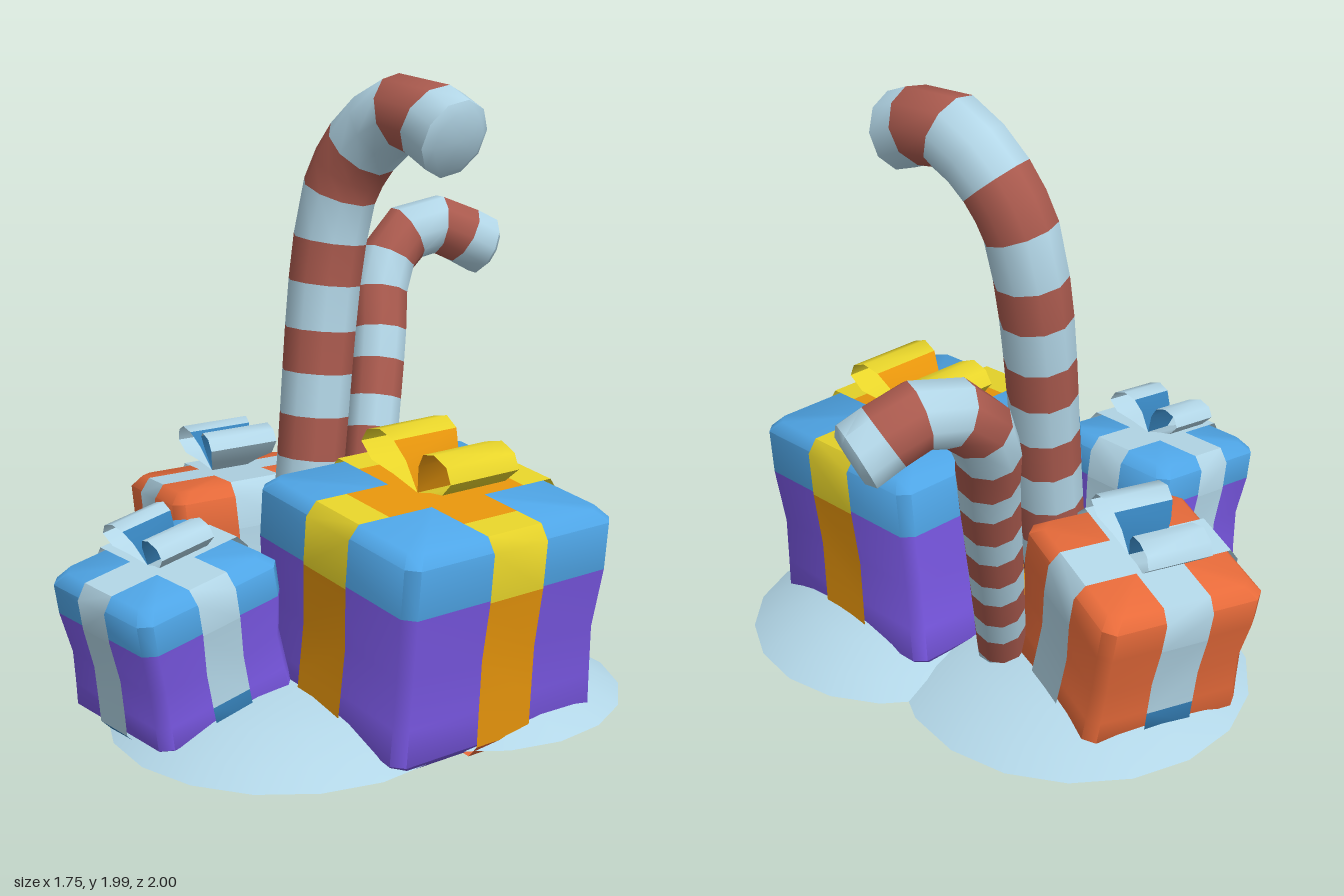
import * as THREE from 'three';
import { toCreasedNormals } from 'three/addons/utils/BufferGeometryUtils.js';

const paint = (name, color, open) => {
  const m = new THREE.MeshStandardMaterial({ color });
  m.name = name;
  if (open) m.side = THREE.DoubleSide;
  return m;
};

const V = (x, y, z) => new THREE.Vector3(x, y, z);

function add(parent, name, geometry, material) {
  const mesh = new THREE.Mesh(geometry, material);
  mesh.name = name;
  parent.add(mesh);
  return mesh;
}

// Closed body from cross-section loops; pick(i) gives the material index of span i
function loft(rings, pick, crease) {
  const n = rings[0].length, pos = [], idx = [];
  const geo = new THREE.BufferGeometry();
  rings.forEach(r => r.forEach(p => pos.push(p.x, p.y, p.z)));
  for (let i = 0; i < rings.length - 1; i++) {
    geo.addGroup(idx.length, n * 6, pick(i));
    for (let j = 0; j < n; j++) {
      const a = i * n + j, b = i * n + (j + 1) % n;
      idx.push(a, b, a + n, b, b + n, a + n);
    }
  }
  for (const [i, span, flip] of [[0, 0, true], [rings.length - 1, rings.length - 2, false]]) {
    const mid = V(0, 0, 0);
    rings[i].forEach(p => mid.addScaledVector(p, 1 / n));
    const m = pos.length / 3;
    pos.push(mid.x, mid.y, mid.z);
    geo.addGroup(idx.length, n * 3, pick(span));
    for (let j = 0; j < n; j++) {
      const a = i * n + j, b = i * n + (j + 1) % n;
      idx.push(...(flip ? [b, a, m] : [a, b, m]));
    }
  }
  geo.setAttribute('position', new THREE.Float32BufferAttribute(pos, 3));
  geo.setIndex(idx);
  return toCreasedNormals(geo, crease);
}

// Flat ribbon following [x, y, width] points, spread along z
function strip(points) {
  const pos = [], idx = [];
  points.forEach(([x, y, w], i) => {
    pos.push(x, y, w / 2, x, y, -w / 2);
    const a = i * 2;
    if (i) idx.push(a - 2, a, a - 1, a - 1, a, a + 1);
  });
  const geo = new THREE.BufferGeometry();
  geo.setAttribute('position', new THREE.Float32BufferAttribute(pos, 3));
  geo.setIndex(idx);
  return toCreasedNormals(geo, 0.9);
}

// Bent striped cane; bands are arc lengths painted with the second material
function cane(name, points, r0, r1, bands, materials) {
  const curve = new THREE.CatmullRomCurve3(points.map(p => V(...p)));
  const length = curve.getLength();
  const stops = [0, ...bands.flat(), length];
  const stations = [];
  stops.forEach((s, i) => {
    if (i && s - stops[i - 1] > 0.16) stations.push((s + stops[i - 1]) / 2);
    stations.push(s);
  });
  const first = V(...points[0]), last = V(...points[points.length - 1]);
  const side = curve.getTangentAt(0).cross(last.clone().sub(first)).normalize();
  const ring = (s, k, push) => {
    const u = s / length, t = curve.getTangentAt(u);
    const c = curve.getPointAt(u).addScaledVector(t, push);
    const nrm = side.clone().cross(t).normalize(), bin = t.clone().cross(nrm);
    const r = (r0 + (r1 - r0) * u) * k;
    return Array.from({ length: 10 }, (_, j) => {
      const a = j * Math.PI / 5;
      return c.clone().addScaledVector(nrm, r * Math.cos(a)).addScaledVector(bin, r * Math.sin(a));
    });
  };
  // Last ring rounds off the tip
  const rings = [...stations.map(s => ring(s, 1, 0)), ring(length, 0.75, 0.02)];
  const pick = i => {
    const mid = (stations[i] + (stations[i + 1] ?? stations[i])) / 2;
    return bands.some(([a, b]) => mid > a && mid < b) ? 1 : 0;
  };
  const mesh = new THREE.Mesh(loft(rings, pick, 0.85), materials);
  mesh.name = name;
  return mesh;
}

// Wrapped box with crossed ribbons and a two-loop bow; origin at the bottom centre
function gift(name, { w, d, h, ribbon, bow, body, lid, upper, lower, centre, base, baseRow, inner }) {
  const g = new THREE.Group();
  g.name = name;
  const c = 0.035;
  const profile = [[0, c], [c, 0.003], [h * 0.22, 0.008], [h * 0.45, 0.014], [h * 0.73, 0], [h - c, 0], [h, c]];
  const rings = profile.map(([y, inset]) => {
    const x = w / 2 - inset, z = d / 2 - inset;
    return [[x - c, z], [x, z - c], [x, c - z], [x - c, -z], [c - x, -z], [-x, c - z], [-x, z - c], [c - x, z]]
      .map(([px, pz]) => V(px, y, pz));
  });
  add(g, 'wrappedBox', loft(rings, i => (i < 4 ? 0 : 1), 0.9), [body, lid]);

  // Ribbons around both directions, split into base, sides, lid edges and top centre
  const flip = pts => pts.map(([x, y, r]) => [-x, y, r]);
  for (const [half, turn, row] of [[w / 2, 0, baseRow], [d / 2, Math.PI / 2, 1]]) {
    const edge = profile.map(([y, inset]) => [half - inset + 0.012, y === 0 ? -0.01 : y === h ? h + 0.01 : y, ribbon]);
    const inside = [half * 0.66, h + 0.01, ribbon];
    const wrap = (part, pts, mat) => { add(g, part, strip(pts), mat).rotation.y = turn; };
    const under = edge.slice(0, row + 1);
    wrap('baseRibbon', [...flip(under).reverse(), ...under], base);
    wrap('topRibbon', [inside, ...flip([inside])], centre);
    for (const side of [pts => pts, flip]) {
      wrap('sideRibbon', side(edge.slice(row, 5)), lower);
      wrap('lidRibbon', side([...edge.slice(4), inside]), upper);
    }
  }

  // Bow loops, mirrored
  const outer = [[0, 0, 0.15], [0.09, 0.035, 0.2], [0.17, 0.06, 0.25], [0.215, 0.11, 0.27],
    [0.19, 0.155, 0.27], [0.13, 0.175, 0.27], [0.07, 0.155, 0.25]];
  const fold = [[0.07, 0.155, 0.25], [0.03, 0.1, 0.21], [0, 0, 0.15]];
  for (const s of [-1, 1]) {
    const shape = pts => strip(pts.map(([x, y, r]) => [x * bow * s, h + 0.014 + y * bow, r * bow]));
    add(g, 'bowLoop', shape(outer), upper);
    add(g, 'bowFold', shape(fold), inner);
  }
  return g;
}

export function createModel() {
  const model = new THREE.Group();
  const snow = paint('snowWhite', 0xb4d8e9, true);
  const red = paint('caneRed', 0xaa5a4e);
  const blue = paint('lidBlue', 0x50a8ea);
  const purple = paint('wrapPurple', 0x7a58e4);
  const orange = paint('wrapOrange', 0xee6e3c, true);
  const yellow = paint('ribbonYellow', 0xf0dc2c, true);
  const gold = paint('ribbonGold', 0xe8960c, true);
  const deepBlue = paint('bowBlue', 0x3580b8, true);

  // Snow mounds
  for (const [x, z, r] of [[0.38, -0.16, 0.5], [-0.28, 0.04, 0.59], [0.16, 0.42, 0.56]]) {
    const profile = [[1, 0.02], [0.85, 0.06], [0.6, 0.11], [0.3, 0.143], [0, 0.153]]
      .map(([k, y]) => new THREE.Vector2(k * r, y));
    add(model, 'snowMound', new THREE.LatheGeometry(profile, 18), snow).position.set(x, 0, z);
  }

  // Canes
  const leaning = [[-0.084, 0.14], [-0.1, 0.7], [-0.12, 1.4], [-0.085, 1.63], [0.04, 1.8], [0.2, 1.875], [0.39, 1.81]]
    .map(([x, y]) => [x, y, 0.19 - 0.14 * y]);
  model.add(cane('tallCane', leaning, 0.107, 0.128,
    [[0.05, 0.19], [0.33, 0.47], [0.61, 0.75], [0.89, 1.03], [1.18, 1.32], [1.48, 1.65], [1.86, 2]], [snow, red]));
  model.add(cane('shortCane', [[-0.115, 0.13, -0.145], [-0.22, 0.5, -0.275], [-0.355, 1, -0.45], [-0.425, 1.21, -0.53],
    [-0.435, 1.33, -0.62], [-0.395, 1.375, -0.75], [-0.32, 1.285, -0.93]], 0.083, 0.108,
    [[0.03, 0.16], [0.27, 0.4], [0.51, 0.64], [0.75, 0.88], [0.99, 1.13], [1.26, 1.38], [1.5, 1.61]], [snow, red]));

  // Gifts
  const big = gift('largeGift', { w: 0.77, d: 0.81, h: 0.7, ribbon: 0.21, bow: 1, body: purple, lid: blue,
    upper: yellow, lower: gold, centre: gold, base: orange, baseRow: 1, inner: gold });
  big.position.set(0.375, 0.04, 0.045);
  big.rotation.set(0, -0.08, -0.09, 'ZYX');

  const silver = { upper: snow, lower: snow, centre: snow, base: deepBlue, baseRow: 2, inner: deepBlue };
  const mid = gift('orangeGift', { w: 0.56, d: 0.58, h: 0.53, ribbon: 0.17, bow: 0.86, body: orange, lid: orange, ...silver });
  mid.position.set(-0.455, 0.065, 0.075);
  mid.rotation.set(0, -0.34, 0.16, 'ZYX');

  const small = gift('smallGift', { w: 0.51, d: 0.52, h: 0.49, ribbon: 0.14, bow: 0.72, body: purple, lid: blue, ...silver });
  small.position.set(-0.04, 0.07, 0.662);
  small.rotation.set(0.17, -0.02, -0.02, 'ZYX');

  model.add(big, mid, small);
  return model;
}
